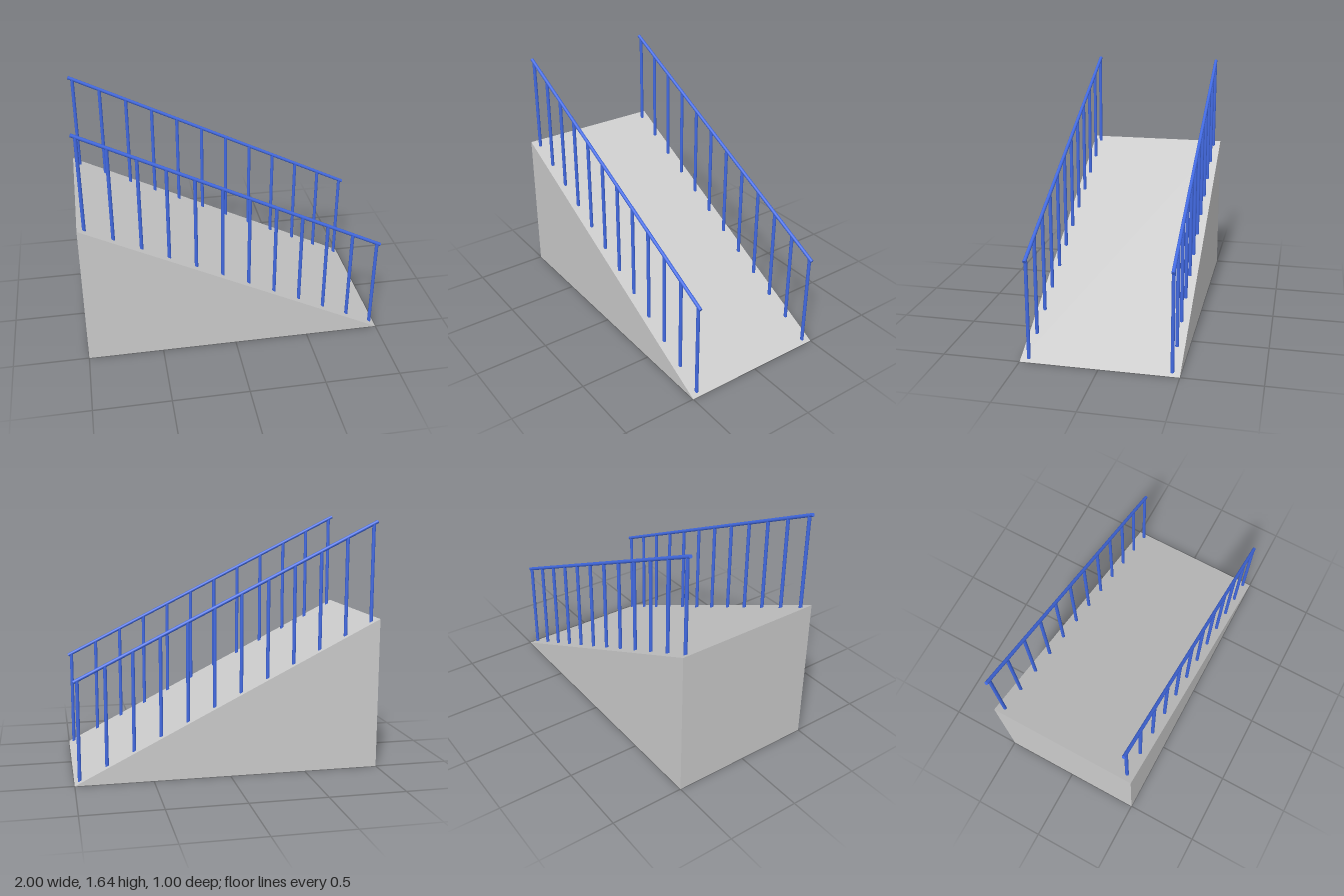
import * as THREE from 'three';

const POSTS = 12;
const RADIUS = 0.0115;
const RAIL_START = new THREE.Vector2(-0.982, 1.63);
const RAIL_END = new THREE.Vector2(0.99, 0.656);

const rampY = (x) => (1 - x) / 2;
const railY = (x) => THREE.MathUtils.mapLinear(x, RAIL_START.x, RAIL_END.x, RAIL_START.y, RAIL_END.y);

export function createModel() {
  const model = new THREE.Group();
  model.name = 'rampWithHandrails';
  const grey = new THREE.MeshStandardMaterial({ color: 0xcccccc });
  const blue = new THREE.MeshStandardMaterial({ color: 0x4169e1 });

  // Wedge: triangular side profile extruded across the width
  const profile = new THREE.Shape([
    new THREE.Vector2(-1, 0),
    new THREE.Vector2(1, 0),
    new THREE.Vector2(-1, 1),
  ]);
  const wedge = new THREE.ExtrudeGeometry(profile, { depth: 1, bevelEnabled: false });
  wedge.translate(0, 0, -0.5);
  const ramp = new THREE.Mesh(wedge, grey);
  ramp.name = 'ramp';
  model.add(ramp);

  // Round bar between two points in the x-y plane
  const bar = (name, x0, y0, x1, y1) => {
    const from = new THREE.Vector3(x0, y0, 0);
    const to = new THREE.Vector3(x1, y1, 0);
    const dir = to.clone().sub(from);
    const mesh = new THREE.Mesh(new THREE.CylinderGeometry(RADIUS, RADIUS, dir.length(), 16), blue);
    mesh.position.copy(from).add(to).multiplyScalar(0.5);
    mesh.quaternion.setFromUnitVectors(new THREE.Vector3(0, 1, 0), dir.normalize());
    mesh.name = name;
    return mesh;
  };

  // One railing along each side: sloping handrail on evenly spaced posts
  for (const [name, z] of [['frontRailing', 0.45], ['backRailing', -0.45]]) {
    const railing = new THREE.Group();
    railing.name = name;
    railing.position.z = z;
    railing.add(bar('handrail', RAIL_START.x, RAIL_START.y, RAIL_END.x, RAIL_END.y));
    for (let i = 0; i < POSTS; i++) {
      const x = THREE.MathUtils.lerp(-0.955, 0.967, i / (POSTS - 1));
      railing.add(bar('post', x, rampY(x) - 0.004, x, railY(x)));
    }
    model.add(railing);
  }
  return model;
}
